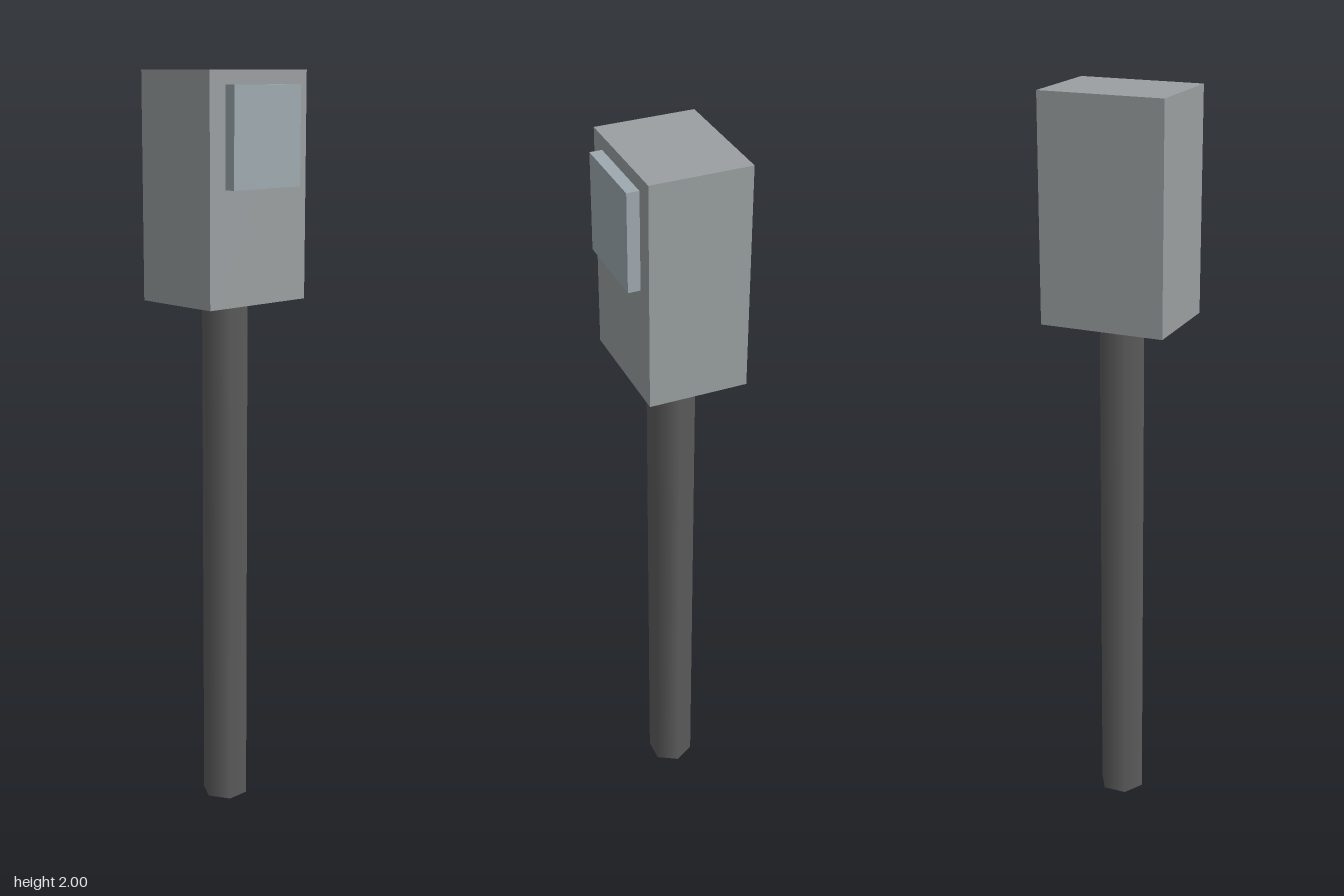
import * as THREE from 'three';

const material = (color) => new THREE.MeshStandardMaterial({ color });

function addPart(group, name, geometry, color, x, y, z) {
  const mesh = new THREE.Mesh(geometry, material(color));
  mesh.name = name;
  mesh.position.set(x, y, z);
  group.add(mesh);
}

export function createModel() {
  const group = new THREE.Group();
  group.name = 'meterPost';

  // Six-sided post with smooth sides, corners pointing to left and right
  const post = new THREE.CylinderGeometry(0.063, 0.063, 1.41, 6, 1, false, Math.PI / 2);
  addPart(group, 'post', post, 0x5c5c5c, -0.001, 0.705, -0.015);

  // Cabinet on top of the post
  addPart(group, 'cabinet', new THREE.BoxGeometry(0.335, 0.59, 0.26), 0x9a9fa1, 0, 1.705, -0.017);

  // Raised display panel on the cabinet front
  addPart(group, 'displayPanel', new THREE.BoxGeometry(0.231, 0.256, 0.032), 0x9eaab0, 0, 1.836, 0.129);

  return group;
}
